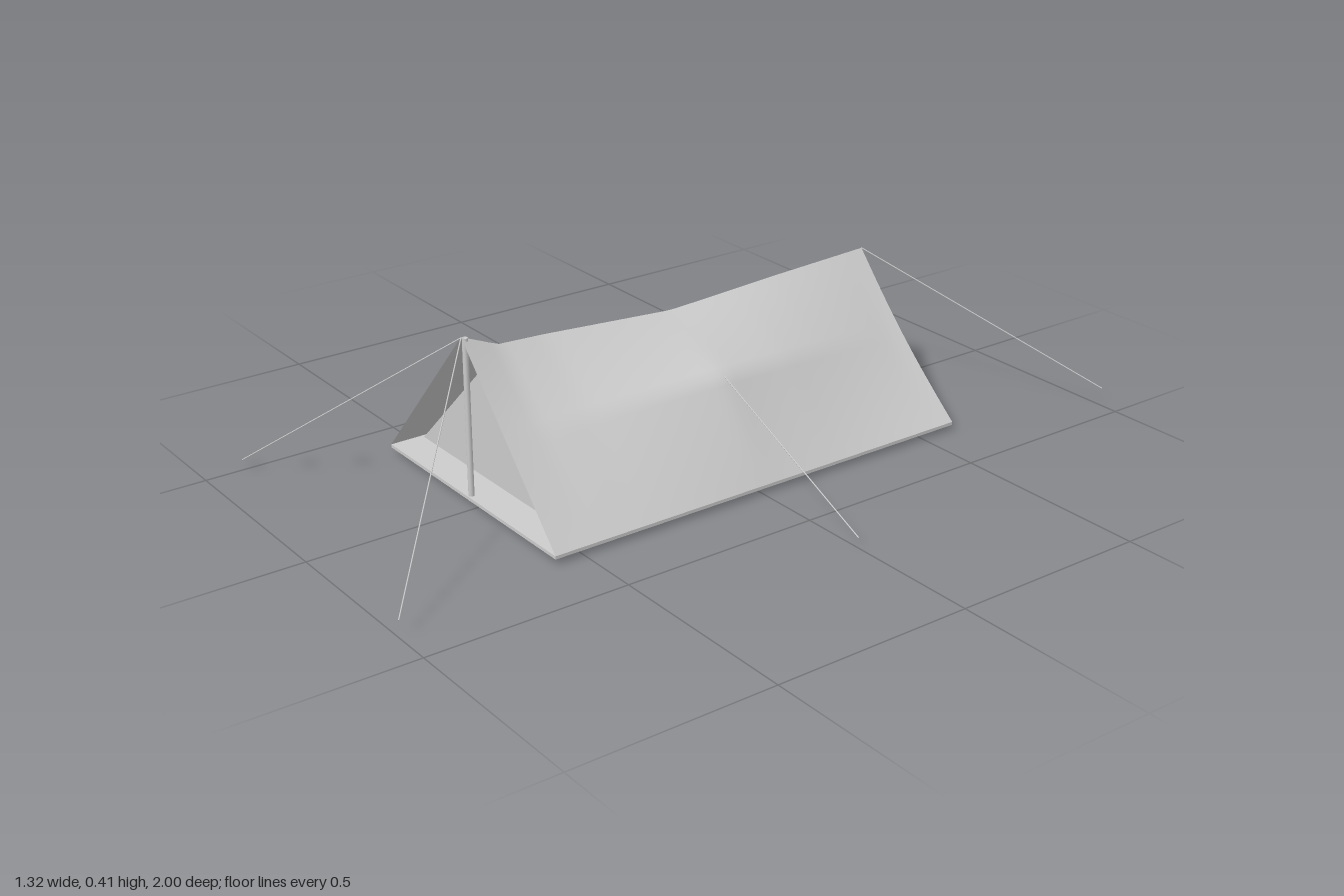
import * as THREE from 'three';

const FRONT = 0.575, BACK = -0.595, FLOOR = 0.02;
const MID = -0.02, HALF = 0.355;
// Ridge line stations: z, x, y
const RIDGE = [
  [BACK, -0.02, 0.372], [-0.3, -0.02, 0.36], [0, -0.022, 0.343],
  [0.35, -0.034, 0.362], [0.48, -0.025, 0.372], [FRONT, -0.025, 0.412],
];

function ridgeAt(z) {
  let i = 0;
  while (i < RIDGE.length - 2 && z > RIDGE[i + 1][0]) i++;
  const [a, b] = [RIDGE[i], RIDGE[i + 1]];
  const t = (z - a[0]) / (b[0] - a[0]);
  return [a[1] + (b[1] - a[1]) * t, a[2] + (b[2] - a[2]) * t];
}

// Point on the canvas: u = 0 at the ridge, 1 at the ground; the side rope pulls the middle out
function canvasPoint(side, u, z) {
  const [rx, ry] = ridgeAt(z);
  const bx = MID + side * HALF;
  const dx = bx - rx, dy = FLOOR - ry, len = Math.hypot(dx, dy);
  const tent = u < 0.45 ? u / 0.45 : (1 - u) / 0.55;
  const pull = 0.063 * Math.pow(Math.max(0, 1 - Math.abs(z) / 0.57), 1.15) * tent;
  const sag = 0.012 * Math.sin(Math.PI * u) * Math.min(1, Math.max(0, (-z - 0.2) / 0.35));
  const push = pull - sag;
  return new THREE.Vector3(
    rx + dx * u + side * (-dy / len) * push,
    ry + dy * u + side * (dx / len) * push,
    z
  );
}

// Grid surface from a point rule
function gridSurface(nu, nv, point) {
  const pos = [], idx = [];
  for (let j = 0; j <= nv; j++)
    for (let i = 0; i <= nu; i++) pos.push(...point(i / nu, j / nv).toArray());
  for (let j = 0; j < nv; j++)
    for (let i = 0; i < nu; i++) {
      const a = j * (nu + 1) + i, b = a + 1, c = a + nu + 1, d = c + 1;
      idx.push(a, c, b, b, c, d);
    }
  const g = new THREE.BufferGeometry();
  g.setAttribute('position', new THREE.Float32BufferAttribute(pos, 3));
  g.setIndex(idx);
  g.computeVertexNormals();
  return g;
}

export function createModel() {
  const group = new THREE.Group();
  const cloth = new THREE.MeshStandardMaterial({ color: 0xcccccc, side: THREE.DoubleSide });
  const solid = new THREE.MeshStandardMaterial({ color: 0xcccccc });
  const add = (name, geometry, material) => {
    const mesh = new THREE.Mesh(geometry, material);
    mesh.name = name;
    group.add(mesh);
    return mesh;
  };

  // Thin round bar between two points
  const bar = (name, a, b, radius, sides) => {
    const from = new THREE.Vector3(...a), to = new THREE.Vector3(...b);
    const dir = to.clone().sub(from);
    const mesh = add(name, new THREE.CylinderGeometry(radius, radius, dir.length(), sides), solid);
    mesh.position.copy(from).add(to).multiplyScalar(0.5);
    mesh.quaternion.setFromUnitVectors(new THREE.Vector3(0, 1, 0), dir.normalize());
  };

  // Sloping canvas sides; v runs so that the faces point outwards
  for (const side of [-1, 1]) {
    const geometry = gridSurface(20, 48, (u, v) => {
      const t = side > 0 ? v : 1 - v;
      return canvasPoint(side, u, BACK + (FRONT - BACK) * t);
    });
    add(side > 0 ? 'leftCanvas' : 'rightCanvas', geometry, cloth);
  }

  // Back wall follows the end of the canvas
  const outline = [];
  for (let i = 0; i <= 12; i++) outline.push(canvasPoint(-1, 1 - i / 12, BACK));
  for (let i = 1; i <= 12; i++) outline.push(canvasPoint(1, i / 12, BACK));
  const backWall = add('backWall', new THREE.ShapeGeometry(
    new THREE.Shape(outline.map((p) => new THREE.Vector2(p.x, p.y)))), cloth);
  backWall.position.z = BACK;

  // Front wall, set back under the overhanging canvas
  const door = new THREE.Shape([
    new THREE.Vector2(MID - 0.345, FLOOR),
    new THREE.Vector2(MID + 0.345, FLOOR),
    new THREE.Vector2(-0.025, 0.35),
  ]);
  add('frontWall', new THREE.ShapeGeometry(door), cloth).position.z = 0.49;

  // Groundsheet
  const sheet = add('groundsheet', new THREE.BoxGeometry(HALF * 2, 0.008, FRONT - BACK), solid);
  sheet.position.set(MID, FLOOR - 0.004, (FRONT + BACK) / 2);

  // Front pole
  bar('frontPole', [-0.025, 0.008, 0.565], [-0.025, 0.408, 0.565], 0.007, 12);

  // Guy ropes at both ends and from the middle of each side
  const frontTop = [-0.025, 0.41, FRONT], backTop = [-0.02, 0.372, BACK];
  const ropes = [
    [frontTop, [-0.51, 0.02, 0.9]], [frontTop, [0.405, 0.04, 1]],
    [backTop, [-0.51, 0, -0.945]], [backTop, [0.45, 0.045, -1]],
    [canvasPoint(-1, 0.45, 0).toArray(), [-0.66, 0.01, -0.005]],
    [canvasPoint(1, 0.45, 0).toArray(), [0.66, 0.02, -0.005]],
  ];
  ropes.forEach(([a, b], i) => bar('guyRope' + (i + 1), a, b, 0.0015, 6));

  return group;
}
